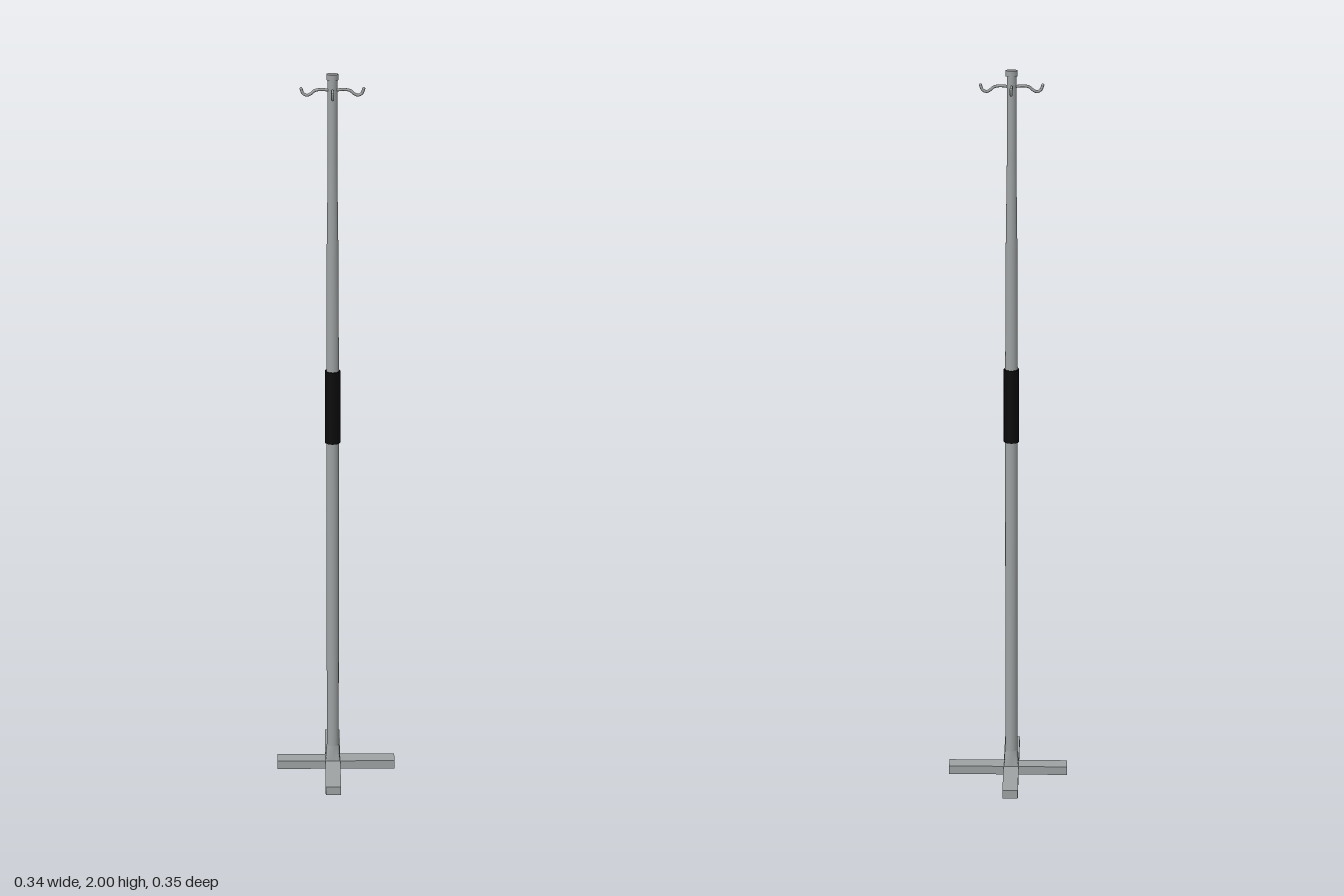
import * as THREE from 'three';

export function createModel() {
  const model = new THREE.Group();
  const steel = new THREE.MeshStandardMaterial({ color: 0x9da1a1 });
  steel.name = 'grey steel';
  const rubber = new THREE.MeshStandardMaterial({ color: 0x0a0a0a });
  rubber.name = 'black rubber';

  // everything is gathered around the pole axis, which sits slightly off centre
  const stand = new THREE.Group();
  stand.name = 'stand';
  stand.position.set(-0.009, 0, -0.004);
  model.add(stand);

  const add = (name, geometry, material, parent = stand) => {
    const mesh = new THREE.Mesh(geometry, material);
    mesh.name = name;
    parent.add(mesh);
    return mesh;
  };
  const tube = (name, rTop, rBottom, y0, y1, material) => {
    const geometry = new THREE.CylinderGeometry(rTop, rBottom, y1 - y0, 20);
    geometry.translate(0, (y0 + y1) / 2, 0);
    return add(name, geometry, material);
  };

  // cross-shaped foot, with the ends given in x and z
  const w = 0.0215, left = -0.159, right = 0.177, back = -0.172, front = 0.176;
  const outline = [
    [left, -w], [-w, -w], [-w, -front], [w, -front], [w, -w], [right, -w],
    [right, w], [w, w], [w, -back], [-w, -back], [-w, w], [left, w],
  ].map(([x, y]) => new THREE.Vector2(x, y));
  const foot = new THREE.ExtrudeGeometry(new THREE.Shape(outline), { depth: 0.025, bevelEnabled: false });
  foot.rotateX(-Math.PI / 2);
  add('crossFoot', foot, steel);

  // socket that blends from a square bottom to a round top
  const socket = new THREE.CylinderGeometry(0.018, 0.021, 0.045, 32, 4, true);
  const p = socket.attributes.position;
  for (let i = 0; i < p.count; i++) {
    const t = 0.5 - p.getY(i) / 0.045;
    const x = p.getX(i), z = p.getZ(i);
    const square = Math.hypot(x, z) / Math.max(Math.abs(x), Math.abs(z));
    const k = 1 + (square - 1) * t;
    p.setX(i, x * k);
    p.setZ(i, z * k);
  }
  socket.translate(0, 0.0475, 0);
  socket.computeVertexNormals();
  add('poleSocket', socket, steel);

  // telescoping pole, grip and cap
  tube('lowerPole', 0.017, 0.017, 0.025, 1.0, steel);
  tube('middlePole', 0.0155, 0.017, 1.19, 1.53, steel);
  tube('taperedPole', 0.0125, 0.0155, 1.53, 1.76, steel);
  tube('upperPole', 0.0125, 0.0125, 1.76, 1.985, steel);
  tube('topCap', 0.0155, 0.0155, 1.985, 2.0, steel);
  tube('grip', 0.021, 0.021, 0.99, 1.195, rubber);

  // four curved hooks; front and back ones are a little shorter
  for (let i = 0; i < 4; i++) {
    const hook = new THREE.Group();
    hook.name = 'hook' + (i + 1);
    hook.rotation.y = (i * Math.PI) / 2;
    stand.add(hook);
    const s = i % 2 ? 0.9 : 1;
    const path = new THREE.CatmullRomCurve3([
      [0.008, 1.958], [0.03, 1.96], [0.046, 1.957], [0.056, 1.949],
      [0.066, 1.945], [0.076, 1.95], [0.081, 1.962],
    ].map(([x, y]) => new THREE.Vector3(x * s, y, 0)));
    add('hookWire', new THREE.TubeGeometry(path, 28, 0.0038, 8), steel, hook);
    const tip = add('hookTip', new THREE.SphereGeometry(0.004, 10, 8), steel, hook);
    tip.position.set(0.081 * s, 1.962, 0);
  }
  return model;
}
